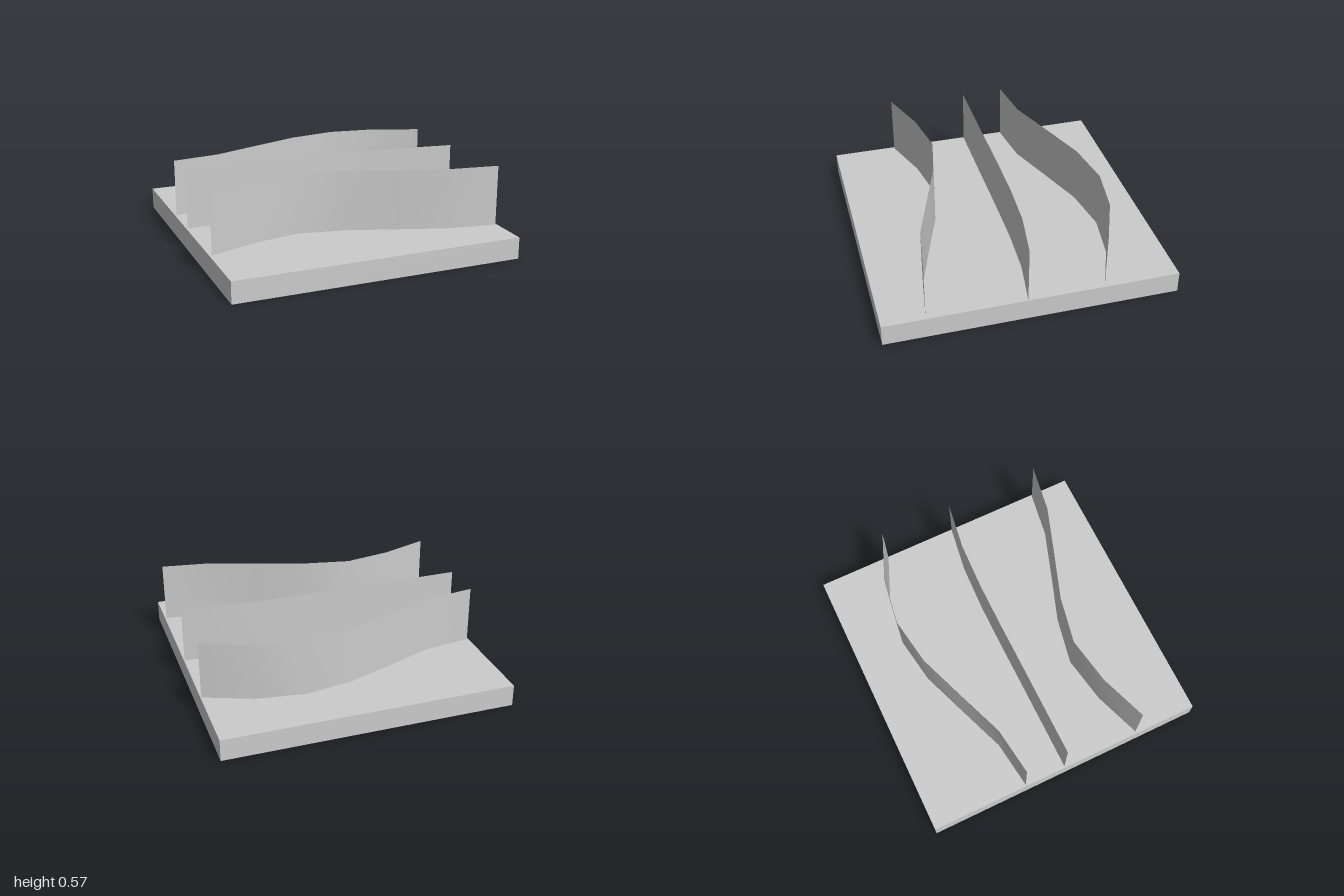
import * as THREE from 'three';

const material = new THREE.MeshStandardMaterial({ color: 0xcccccc });
const sheetMaterial = new THREE.MeshStandardMaterial({ color: 0xcccccc, side: THREE.DoubleSide });

const BASE_HEIGHT = 0.15;

// Thin upright sheet whose plan follows evenly spaced z offsets from x0 to x1
function curvedWall(name, x0, x1, height, depths) {
  const geometry = new THREE.PlaneGeometry(x1 - x0, height, depths.length - 1, 1);
  geometry.translate((x0 + x1) / 2, BASE_HEIGHT + height / 2, 0);
  const position = geometry.attributes.position;
  for (let i = 0; i < position.count; i++) {
    position.setZ(i, depths[i % depths.length]);
  }
  geometry.computeVertexNormals();
  const wall = new THREE.Mesh(geometry, sheetMaterial);
  wall.name = name;
  return wall;
}

export function createModel() {
  const model = new THREE.Group();
  model.name = 'baseWithCurvedWalls';

  // Square base slab
  const base = new THREE.Mesh(new THREE.BoxGeometry(2, BASE_HEIGHT, 2), material);
  base.name = 'base';
  base.position.y = BASE_HEIGHT / 2;
  model.add(base);

  // Three wavy walls standing on the slab
  model.add(
    curvedWall('frontWall', -0.985, 0.99, 0.42, [0.548, 0.43, 0.37, 0.435, 0.55, 0.662, 0.713]),
    curvedWall('middleWall', -0.99, 0.995, 0.4, [-0.012, -0.015, -0.018, -0.022, -0.022, -0.008, 0.042]),
    curvedWall('backWall', -0.99, 0.995, 0.4, [-0.311, -0.357, -0.481, -0.602, -0.655, -0.607, -0.477]),
  );

  return model;
}
